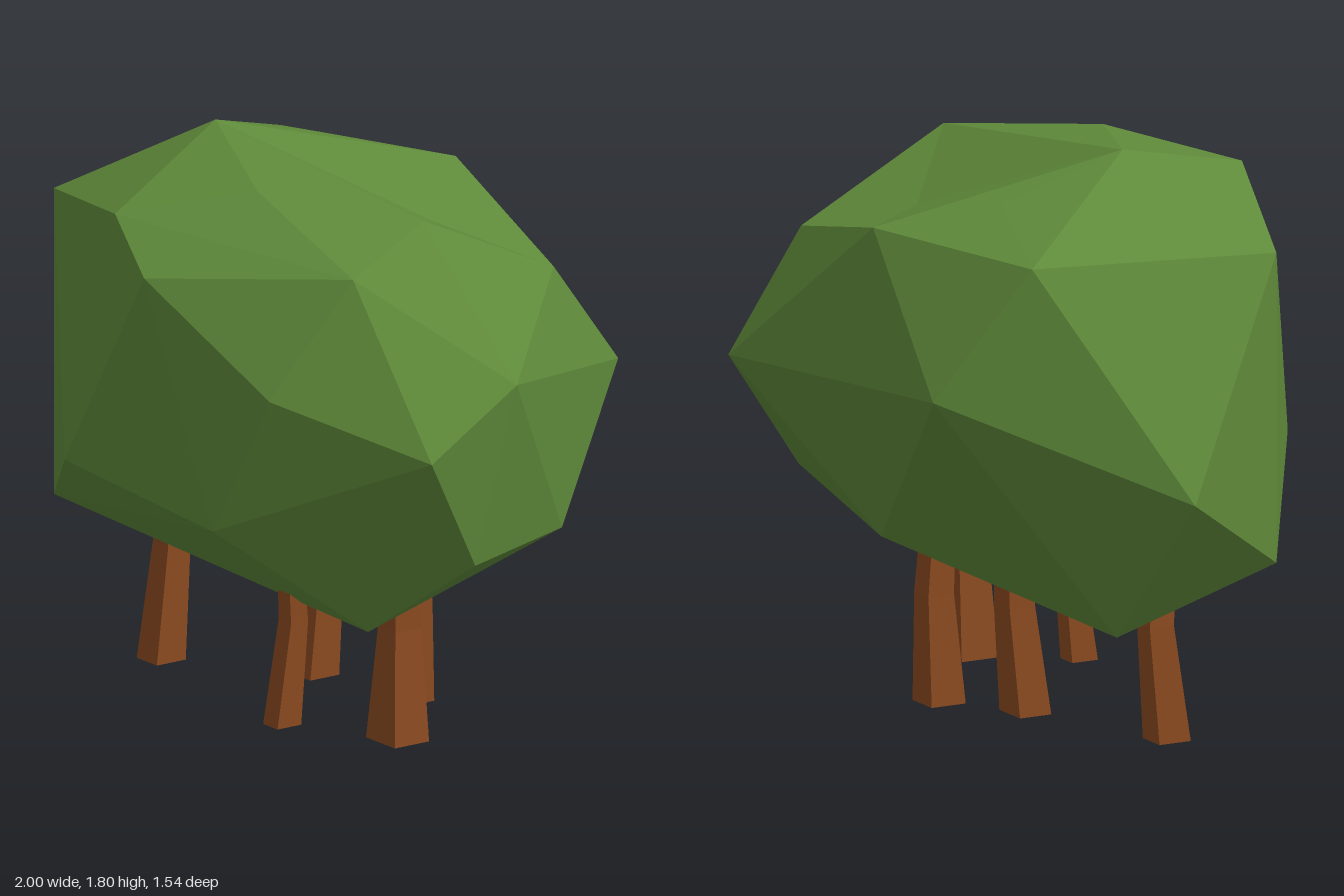
import * as THREE from 'three';
import { ConvexGeometry } from 'three/addons/geometries/ConvexGeometry.js';

const leafMaterial = new THREE.MeshStandardMaterial({ color: 0x5f8a3a, flatShading: true });
const woodMaterial = new THREE.MeshStandardMaterial({ color: 0x8b4a20, flatShading: true });

// Corners of the faceted crown
const crown = [
  [-1, 0.84, 0.02], [-0.76, 1.59, -0.42], [-0.76, 1.54, 0.44], [-0.76, 0.56, 0.44],
  [-0.62, 1.17, -0.69], [0.52, 1.09, -0.77], [0.95, 1.23, -0.07], [1, 1.05, 0.29],
  [0.74, 1.6, 0.4], [0.63, 1.7, 0.05], [0.58, 1.45, -0.48], [0.65, 1.23, 0.65],
  [0.16, 1.53, 0.77], [-0.1, 1.66, 0.69], [-0.28, 0.84, 0.75], [0.2, 1.75, 0.37],
  [-0.33, 1.81, 0.14], [-0.12, 1.61, -0.62], [-0.33, 1.69, -0.29], [0.42, 0.77, 0.7],
  [0.87, 0.65, 0.03], [0.6, 0.41, 0.24], [0.72, 0.66, -0.41], [0.06, 0.58, -0.49],
  [-0.65, 0.36, -0.06],
];
// A corner that is hulled slightly high, then sunk to form the hollow on top
const hollow = new THREE.Vector3(0.26, 1.69, -0.25);
const hollowY = 1.56;

function makeFoliage() {
  const points = crown.map((p) => new THREE.Vector3(...p));
  const geometry = new ConvexGeometry([...points, hollow]);
  const pos = geometry.attributes.position;
  const v = new THREE.Vector3();
  for (let i = 0; i < pos.count; i++) {
    if (v.fromBufferAttribute(pos, i).distanceTo(hollow) < 0.001) pos.setY(i, hollowY);
  }
  geometry.computeVertexNormals();
  const mesh = new THREE.Mesh(geometry, leafMaterial);
  mesh.name = 'foliage';
  return mesh;
}

// Bent, tapered four-sided trunk; rings run from foot to top as [x, y, z, width, depth]
function makeTrunk(rings) {
  const last = rings.length - 1;
  const geometry = new THREE.BoxGeometry(1, 1, 1, 1, last, 1);
  const pos = geometry.attributes.position;
  for (let i = 0; i < pos.count; i++) {
    const [x, y, z, w, d] = rings[Math.round((pos.getY(i) + 0.5) * last)];
    pos.setXYZ(i, x + pos.getX(i) * w, y, z + pos.getZ(i) * d);
  }
  geometry.computeVertexNormals();
  return new THREE.Mesh(geometry, woodMaterial);
}

const trunks = {
  rightTrunk: [[-0.625, 0.01, 0.13, 0.105, 0.11], [-0.625, 0.38, 0.09, 0.08, 0.085], [-0.625, 0.46, 0.1, 0.07, 0.08]],
  backRightTrunk: [[-0.175, 0.03, -0.115, 0.13, 0.11], [-0.17, 0.37, -0.15, 0.1, 0.09], [-0.17, 0.47, -0.155, 0.09, 0.08]],
  backLeftTrunk: [[0.16, 0.005, -0.23, 0.12, 0.12], [0.165, 0.35, -0.245, 0.09, 0.09], [0.17, 0.54, -0.23, 0.08, 0.08]],
  frontTrunk: [[0.27, 0.05, 0.325, 0.075, 0.09], [0.28, 0.38, 0.29, 0.065, 0.065], [0.285, 0.5, 0.3, 0.06, 0.06]],
  leftTrunk: [[0.555, 0.03, 0.095, 0.15, 0.13], [0.56, 0.39, 0.09, 0.09, 0.1], [0.565, 0.5, 0.1, 0.08, 0.08]],
};

export function createModel() {
  const model = new THREE.Group();
  model.name = 'tree';
  model.add(makeFoliage());
  for (const [name, rings] of Object.entries(trunks)) {
    const trunk = makeTrunk(rings);
    trunk.name = name;
    model.add(trunk);
  }
  return model;
}
